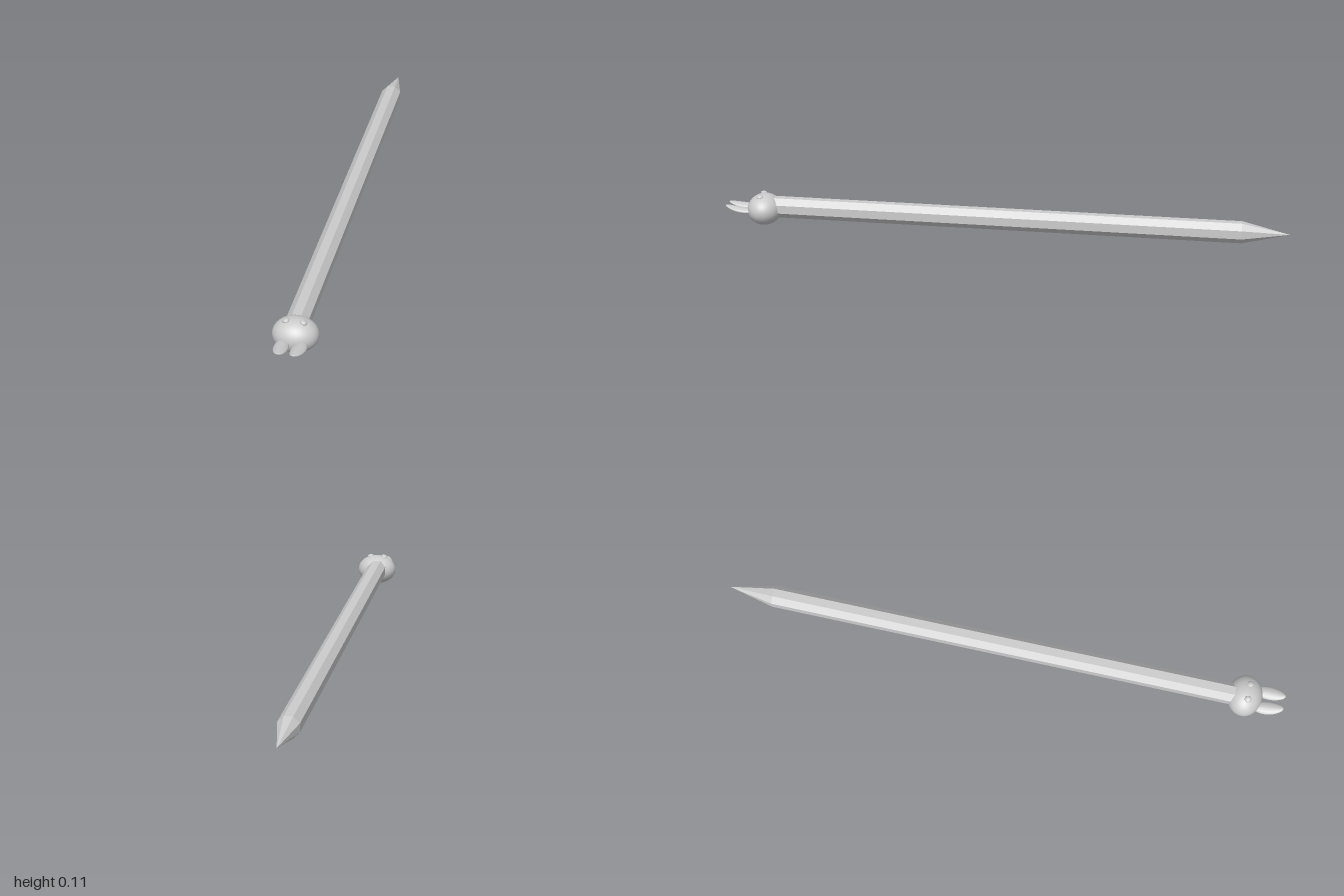
import * as THREE from 'three';

const smooth = new THREE.MeshStandardMaterial({ color: 0xcccccc });
const faceted = new THREE.MeshStandardMaterial({ color: 0xcccccc, flatShading: true });

function ellipsoid(name, radii, position, w = 32, h = 20) {
  const geometry = new THREE.SphereGeometry(1, w, h).scale(...radii);
  const mesh = new THREE.Mesh(geometry, smooth);
  mesh.name = name;
  mesh.position.set(...position);
  return mesh;
}

// Eight-sided shaft with a sharpened point, running from the head to the back
function makeShaft() {
  const r = 0.0385;
  const profile = [[0, 0], [r, 0], [r, 1.66], [0, 1.825]].map(([x, y]) => new THREE.Vector2(x, y));
  const geometry = new THREE.LatheGeometry(profile, 8);
  geometry.rotateY(Math.PI / 8).rotateX(-Math.PI / 2);
  const shaft = new THREE.Mesh(geometry, faceted);
  shaft.name = 'pencilShaft';
  shaft.position.set(-0.005, 0.064, 0.825);
  shaft.rotation.x = -0.0095;
  return shaft;
}

// Flat paddle ear: a sphere stretched forward, narrowed and curled up at the tip
function makeEar(side) {
  const geometry = new THREE.SphereGeometry(1, 16, 14).rotateX(Math.PI / 2);
  const p = geometry.attributes.position;
  for (let i = 0; i < p.count; i++) {
    const t = (p.getZ(i) + 1) / 2;
    const x = p.getX(i) * (0.0245 - 0.004 * t * t);
    const y = p.getY(i) * (0.011 - 0.004 * t) + 0.016 * t * t - Math.abs(x) * 0.15;
    p.setXYZ(i, x - side * 0.006 * t * t, y, p.getZ(i) * 0.054);
  }
  geometry.computeVertexNormals();
  const ear = new THREE.Mesh(geometry, smooth);
  ear.name = side > 0 ? 'leftEar' : 'rightEar';
  ear.position.set(side * 0.029, 0.055, 0.946);
  return ear;
}

export function createModel() {
  const model = new THREE.Group();
  model.name = 'animalHeadPencil';
  model.add(makeShaft());
  model.add(ellipsoid('head', [0.074, 0.056, 0.061], [0, 0.056, 0.862]));

  for (const side of [-1, 1]) {
    const eye = ellipsoid(side > 0 ? 'leftEye' : 'rightEye', [0.012, 0.007, 0.012], [side * 0.028, 0.107, 0.871], 16, 10);
    eye.rotation.z = -side * 0.3;
    model.add(eye, makeEar(side));
  }
  return model;
}
